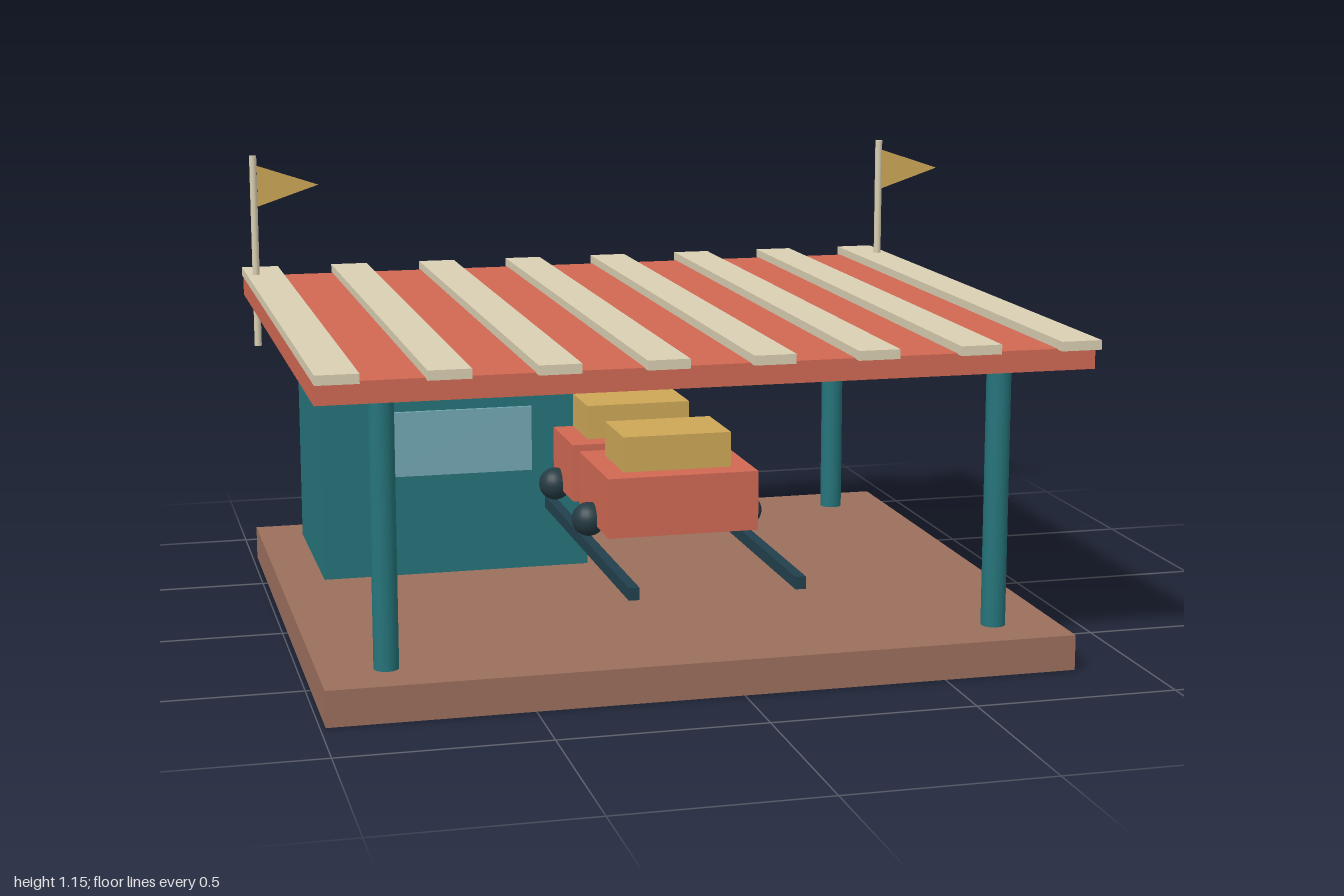
import * as THREE from 'three';

const mat = (color, side = THREE.FrontSide) => new THREE.MeshStandardMaterial({ color, side });
const teal = mat(0x25747a), red = mat(0xd06853), cream = mat(0xdacfb2), gold = mat(0xcda757);
const wood = mat(0x9b6f5c), steel = mat(0x22404c), rubber = mat(0x243a42), glass = mat(0x74a8b4);
const flagCloth = mat(0xcda757, THREE.DoubleSide);

const CX = -0.077; // middle of the shelter, offset to make room for the flags

export function createModel() {
  const root = new THREE.Group();
  root.name = 'rideStation';

  const add = (parent, name, geometry, material, x, y, z) => {
    const mesh = new THREE.Mesh(geometry, material);
    mesh.name = name;
    mesh.position.set(x, y, z);
    parent.add(mesh);
    return mesh;
  };
  // Box given by its centre in x and z and its bottom and top in y
  const box = (parent, name, material, x, y0, y1, z, w, d) =>
    add(parent, name, new THREE.BoxGeometry(w, y1 - y0, d), material, x, (y0 + y1) / 2, z);

  // Floor and four posts
  box(root, 'platform', wood, CX, 0, 0.0875, 0, 1.82, 1.58);
  const postGeo = new THREE.CylinderGeometry(0.03, 0.03, 0.6625, 16);
  for (const sx of [-1, 1])
    for (const sz of [-1, 1])
      add(root, 'post', postGeo, teal, CX + sx * 0.75, 0.41875, sz * 0.65);

  // Roof with raised stripes
  box(root, 'roof', red, CX, 0.75, 0.802, 0, 1.844, 1.65);
  for (let i = 0; i < 8; i++)
    box(root, 'roofStripe', cream, -0.95 + i * 0.25, 0.8, 0.823, 0, 0.1, 1.7);

  // Operator booth with window
  box(root, 'booth', teal, -0.525, 0.1, 0.575, -0.375, 0.7, 0.5);
  box(root, 'boothWindow', glass, -0.525, 0.365, 0.535, -0.125, 0.4, 0.02);

  // Rails
  for (const s of [-1, 1])
    box(root, 'rail', steel, CX + s * 0.2, 0.26, 0.29, 0, 0.025, 1.65);

  // Train of three cars
  const wheelGeo = new THREE.SphereGeometry(0.042, 20, 14);
  for (const z of [0.35, -0.05, -0.45]) {
    const car = new THREE.Group();
    car.name = 'car';
    car.position.set(CX, 0, z);
    box(car, 'carBody', red, 0, 0.328, 0.475, 0, 0.375, 0.325);
    box(car, 'carSeat', gold, 0, 0.475, 0.562, 0, 0.27, 0.2);
    for (const s of [-1, 1]) add(car, 'wheel', wheelGeo, rubber, s * 0.2, 0.34, 0);
    root.add(car);
  }

  // Flag poles with pennants at the back corners
  const poleGeo = new THREE.CylinderGeometry(0.01, 0.01, 0.525, 10);
  const pennant = new THREE.ShapeGeometry(new THREE.Shape([
    new THREE.Vector2(0, -0.056), new THREE.Vector2(0.167, 0), new THREE.Vector2(0, 0.056),
  ]));
  for (const x of [-0.975, 0.822]) {
    add(root, 'flagPole', poleGeo, cream, x, 0.8875, -0.7);
    add(root, 'pennant', pennant, flagCloth, x + 0.01, 1.066, -0.7);
  }
  return root;
}
